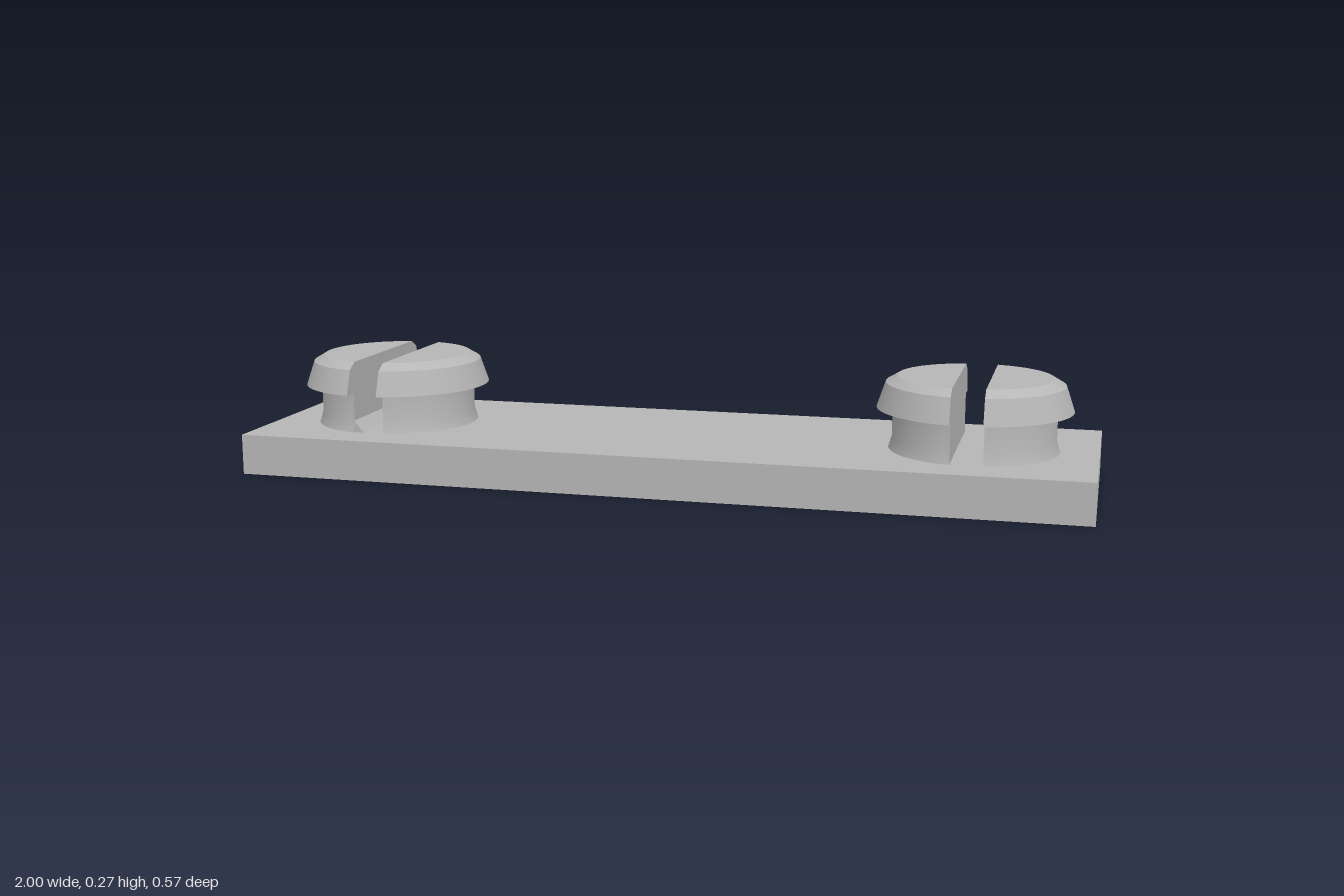
import * as THREE from 'three';
import { toCreasedNormals } from 'three/addons/utils/BufferGeometryUtils.js';

const PLATE = { width: 2, height: 0.096, depth: 0.572 };
const STUD_X = 0.715;
const SLOT = 0.037; // half width of the slot

// Radius and height, from the flared foot up to the chamfered head
const PROFILE = [
  [0.196, 0.096], [0.188, 0.122], [0.188, 0.191],
  [0.225, 0.191], [0.205, 0.25], [0.178, 0.266],
];

// Half of a lathed stud on the +x side, cut flat by the slot
function halfStudGeometry(segments = 40) {
  const rings = PROFILE.map(([r, y]) => {
    const limit = Math.acos(SLOT / r);
    return Array.from({ length: segments + 1 }, (_, i) => {
      const t = limit * (2 * i / segments - 1);
      return [r * Math.cos(t), y, r * Math.sin(t)];
    });
  });
  const positions = [];
  const tri = (a, b, c) => positions.push(...a, ...b, ...c);

  for (let k = 0; k < rings.length - 1; k++) {
    const low = rings[k], high = rings[k + 1];
    for (let i = 0; i <= segments; i++) {
      const j = (i + 1) % (segments + 1); // the last step closes the slot wall
      if (j === 0 && low[0][1] === high[0][1]) continue;
      tri(low[i], high[i], high[j]);
      tri(low[i], high[j], low[j]);
    }
  }
  // Flat top
  const top = rings[rings.length - 1];
  for (let i = 1; i < segments; i++) tri(top[0], top[i + 1], top[i]);

  const geometry = new THREE.BufferGeometry();
  geometry.setAttribute('position', new THREE.Float32BufferAttribute(positions, 3));
  return toCreasedNormals(geometry, 0.5);
}

export function createModel() {
  const model = new THREE.Group();
  model.name = 'studdedPlate';
  const grey = new THREE.MeshStandardMaterial({ color: 0xb6b6b6 });
  grey.name = 'grey';

  const plate = new THREE.Mesh(new THREE.BoxGeometry(PLATE.width, PLATE.height, PLATE.depth), grey);
  plate.name = 'basePlate';
  plate.position.y = PLATE.height / 2;
  model.add(plate);

  // Two split studs, each made of two mirrored halves
  const half = halfStudGeometry();
  for (const side of [-1, 1]) {
    const stud = new THREE.Group();
    stud.name = side < 0 ? 'rightStud' : 'leftStud';
    stud.position.x = side * STUD_X;
    for (const turn of [0, Math.PI]) {
      const mesh = new THREE.Mesh(half, grey);
      mesh.name = turn ? 'outerMinusHalf' : 'outerPlusHalf';
      mesh.rotation.y = turn;
      stud.add(mesh);
    }
    model.add(stud);
  }

  // Small sloped fillet at the foot of one slot wall
  const section = new THREE.Shape([
    new THREE.Vector2(0, 0), new THREE.Vector2(0.025, 0), new THREE.Vector2(0, 0.028),
  ]);
  const fillet = new THREE.Mesh(
    new THREE.ExtrudeGeometry(section, { depth: 0.376, bevelEnabled: false }), grey);
  fillet.name = 'slotFillet';
  fillet.position.set(-STUD_X - SLOT, PLATE.height, -0.188);
  model.add(fillet);

  return model;
}
